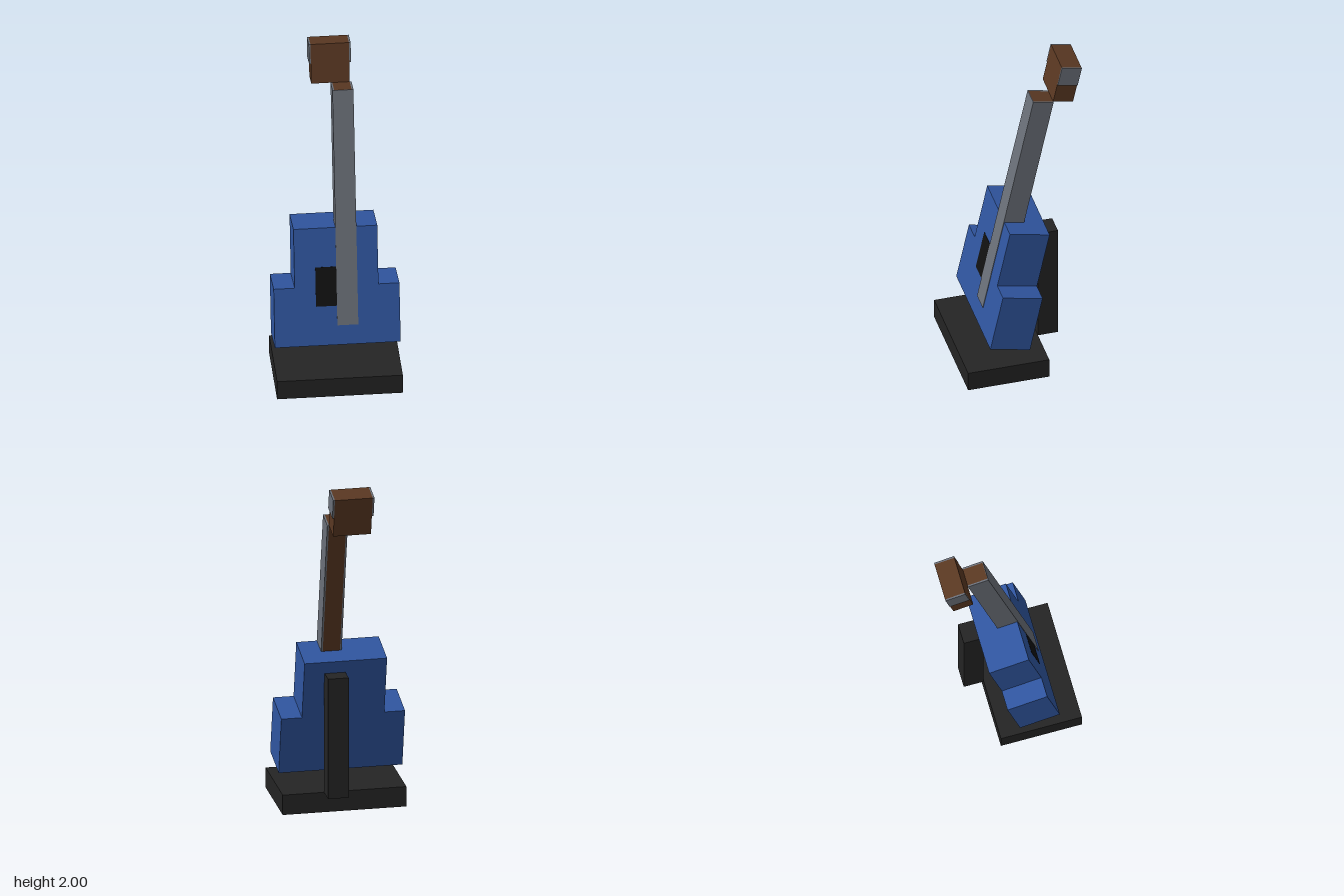
import * as THREE from 'three';

const flat = (name, color, side = THREE.FrontSide) =>
  Object.assign(new THREE.MeshStandardMaterial({ color, side }), { name });

export function createModel() {
  const blue = flat('body blue', 0x3056a0);
  const grey = flat('metal grey', 0x6b7079);
  const brown = flat('wood brown', 0x5a3822);
  const black = flat('stand black', 0x242424, THREE.DoubleSide);
  const pickupBlack = flat('pickup black', 0x111111);

  // Box given by its minimum and maximum along each axis
  const box = (parent, name, material, [x0, x1], [y0, y1], [z0, z1]) => {
    const mesh = new THREE.Mesh(new THREE.BoxGeometry(x1 - x0, y1 - y0, z1 - z0), material);
    mesh.position.set((x0 + x1) / 2, (y0 + y1) / 2, (z0 + z1) / 2);
    mesh.name = name;
    parent.add(mesh);
    return mesh;
  };

  const model = new THREE.Group();
  model.name = 'guitarOnStand';

  // Stand: a hollow tray, open underneath, and an upright post behind
  const stand = new THREE.Group();
  stand.name = 'stand';
  model.add(stand);
  const base = box(stand, 'standBase', black, [-0.36, 0.36], [0, 0.12], [-0.11, 0.37]);
  const index = Array.from(base.geometry.index.array);
  index.splice(18, 6); // remove the bottom face
  base.geometry.setIndex(index);
  base.geometry.clearGroups();
  box(stand, 'standPost', black, [0, 0.12], [0.12, 0.845], [-0.228, -0.11]);

  // Guitar: built upright, then leaned back; origin at the lower back edge
  const guitar = new THREE.Group();
  guitar.name = 'guitar';
  guitar.position.set(0, 0.214, 0.004);
  guitar.rotation.x = -THREE.MathUtils.degToRad(12);
  model.add(guitar);

  // Body in two steps
  box(guitar, 'lowerBody', blue, [-0.36, 0.36], [0, 0.36], [0, 0.24]);
  box(guitar, 'upperBody', blue, [-0.24, 0.24], [0.36, 0.72], [0, 0.24]);
  box(guitar, 'pickupPlate', pickupBlack, [-0.12, 0.12], [0.24, 0.48], [0.239, 0.2415]);

  // Neck: wooden core with grey front and edges
  box(guitar, 'neckCore', brown, [0.01, 0.11], [0.72, 1.56], [0.12, 0.24]);
  box(guitar, 'fretboard', grey, [0, 0.12], [0.12, 1.56], [0.239, 0.243]);
  for (const x of [0, 0.11]) {
    box(guitar, 'neckEdge', grey, [x, x + 0.01], [0.72, 1.56], [0.12, 0.24]);
  }

  // Headstock with a grey tuner plate on each side
  box(guitar, 'headstock', brown, [-0.11, 0.11], [1.56, 1.8], [0, 0.12]);
  for (const x of [-0.12, 0.11]) {
    box(guitar, 'tunerPlate', grey, [x, x + 0.01], [1.68, 1.8], [0, 0.12]);
  }

  return model;
}
